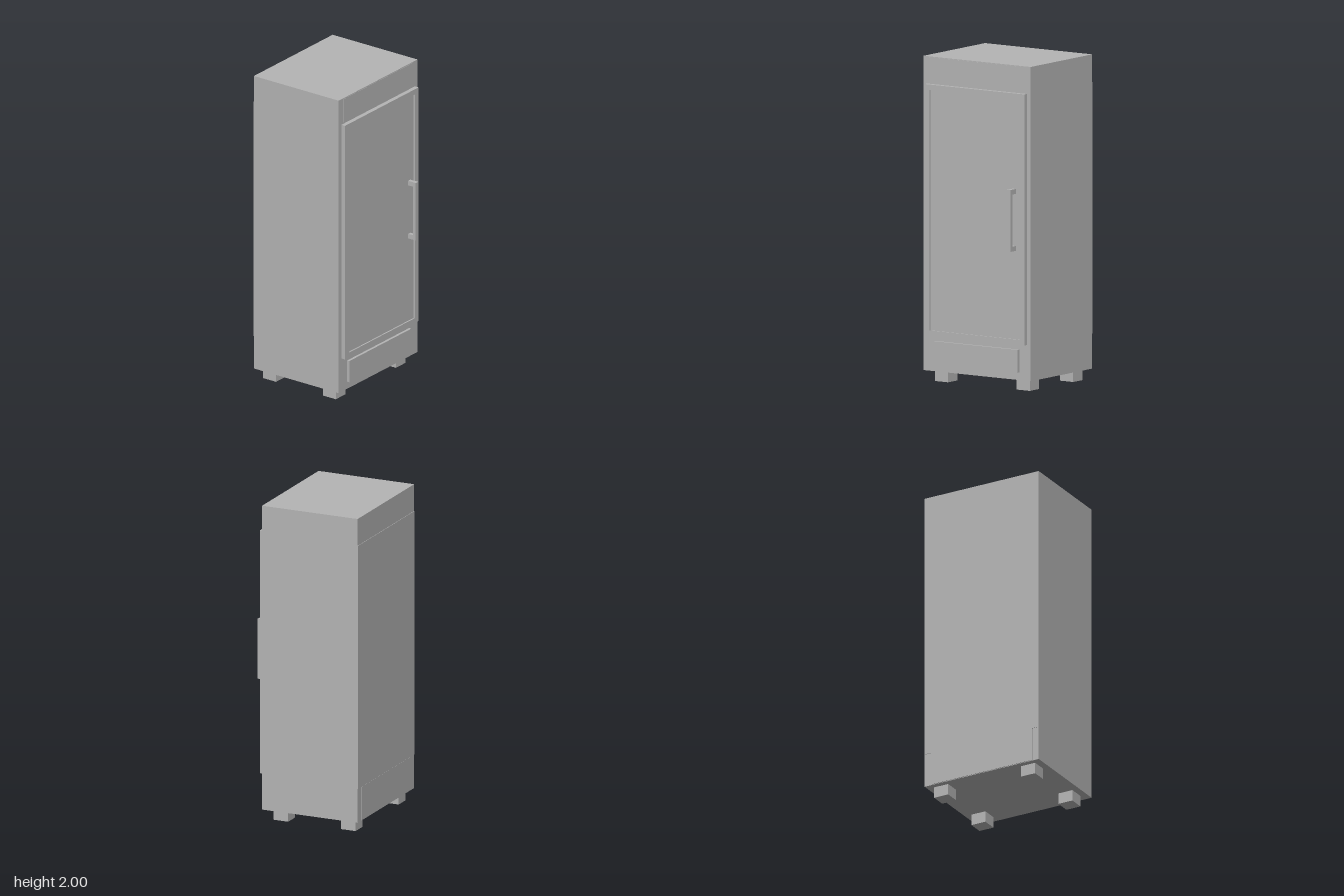
import * as THREE from 'three';

export function createModel() {
  const model = new THREE.Group();
  model.name = 'refrigerator';
  const steel = new THREE.MeshStandardMaterial({ color: 0xb4b4b4 });
  steel.name = 'steel grey';

  // Box given by its lower and upper corners
  function block(name, [x0, y0, z0], [x1, y1, z1], parent = model) {
    const mesh = new THREE.Mesh(new THREE.BoxGeometry(x1 - x0, y1 - y0, z1 - z0), steel);
    mesh.position.set((x0 + x1) / 2, (y0 + y1) / 2, (z0 + z1) / 2);
    mesh.name = name;
    parent.add(mesh);
  }

  // Cabinet with thin front and back cover plates
  block('cabinet', [-0.4, 0.07, -0.358], [0.4, 2, 0.285]);
  block('topFrontPlate', [-0.355, 1.84, 0.284], [0.355, 1.995, 0.287]);
  block('backPanel', [-0.4, 0.285, -0.361], [0.4, 1.83, -0.357]);
  block('lowerBackPlate', [-0.355, 0.073, -0.362], [0.355, 0.285, -0.357]);

  // Door: raised frame around a recessed panel
  const door = new THREE.Group();
  door.name = 'door';
  model.add(door);
  const rectangle = (path, x, y0, y1) =>
    path.moveTo(-x, y0).lineTo(x, y0).lineTo(x, y1).lineTo(-x, y1).closePath();
  const outline = rectangle(new THREE.Shape(), 0.373, 0.29, 1.832);
  outline.holes.push(rectangle(new THREE.Path(), 0.335, 0.322, 1.798));
  const frame = new THREE.Mesh(
    new THREE.ExtrudeGeometry(outline, { depth: 0.028, bevelEnabled: false }), steel);
  frame.position.z = 0.285;
  frame.name = 'doorFrame';
  door.add(frame);
  block('doorPanel', [-0.335, 0.322, 0.285], [0.335, 1.798, 0.304], door);

  // Handle: upright grip on two brackets
  const handle = new THREE.Group();
  handle.name = 'handle';
  door.add(handle);
  block('grip', [0.279, 0.865, 0.342], [0.304, 1.245, 0.362], handle);
  for (const y of [0.865, 1.215])
    block('handleBracket', [0.28, y, 0.303], [0.303, y + 0.03, 0.343], handle);

  // Kick plate below the door
  block('kickPlate', [-0.315, 0.117, 0.284], [0.315, 0.257, 0.302]);

  // Four square feet
  for (const x of [-0.305, 0.305])
    for (const z of [0.18, -0.273])
      block('foot', [x - 0.049, 0, z - 0.049], [x + 0.049, 0.07, z + 0.049]);

  return model;
}
